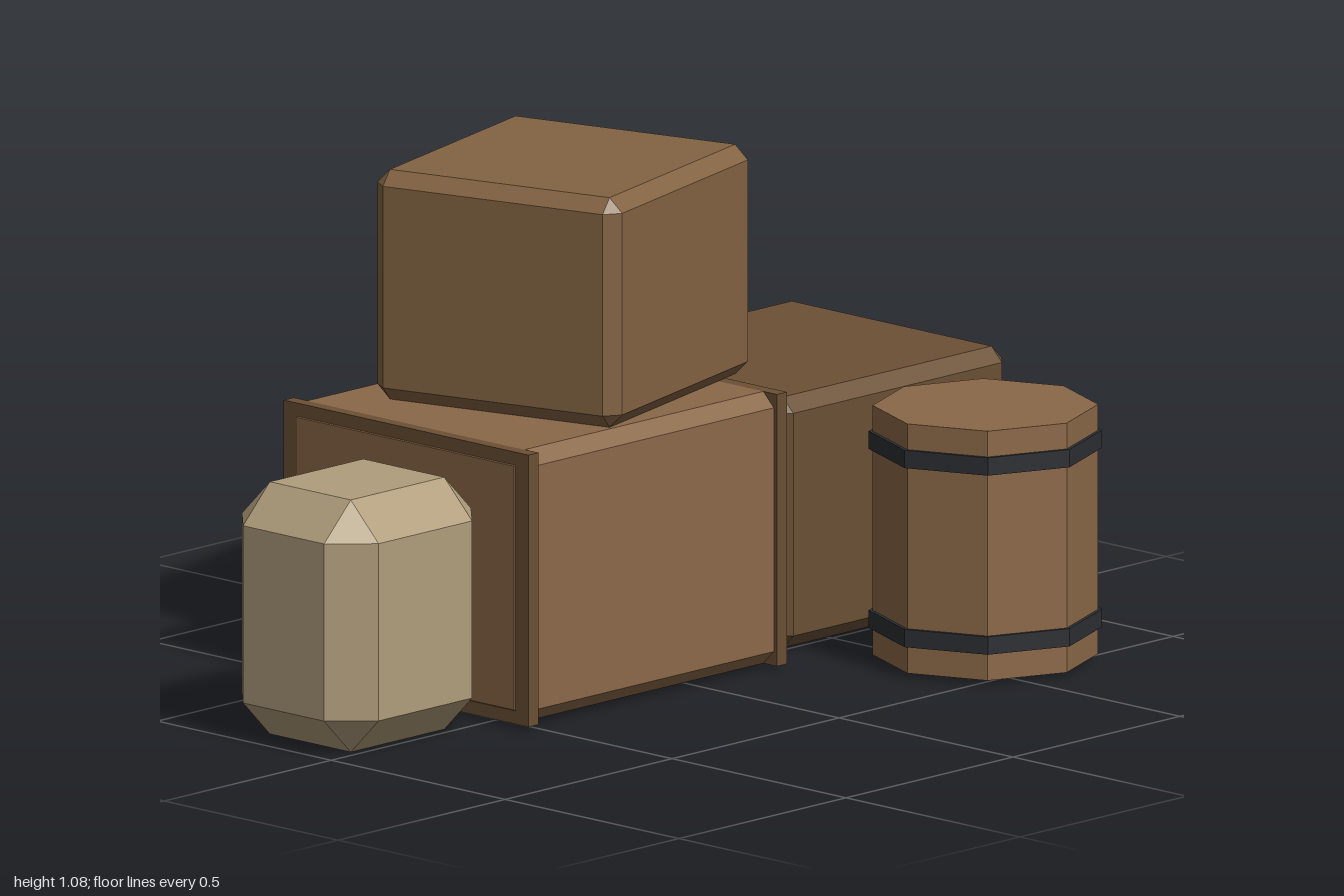
import * as THREE from 'three';
import { ConvexGeometry } from 'three/addons/geometries/ConvexGeometry.js';

const mat = (color) => new THREE.MeshStandardMaterial({ color, flatShading: true });
const wood = mat(0x8b6848);
const topWood = mat(0x836342);
const darkWood = mat(0x6b5035);
const iron = mat(0x2c2e32);
const cloth = mat(0xb09d7c);

// Box with chamfered edges and corners, centred on the origin
function chamferBox(w, h, d, b) {
  const points = [];
  for (const sx of [-1, 1]) for (const sy of [-1, 1]) for (const sz of [-1, 1]) {
    for (let face = 0; face < 3; face++) {
      const half = [w / 2, h / 2, d / 2].map((v, axis) => (axis === face ? v : v - b));
      points.push(new THREE.Vector3(sx * half[0], sy * half[1], sz * half[2]));
    }
  }
  return new ConvexGeometry(points);
}

function add(parent, name, geometry, material, x, y, z) {
  const mesh = new THREE.Mesh(geometry, material);
  mesh.name = name;
  mesh.position.set(x, y, z);
  parent.add(mesh);
  return mesh;
}

export function createModel() {
  const model = new THREE.Group();
  model.name = 'cargoPile';

  // Large crate with a framing board at each end
  const crate = new THREE.Group();
  crate.name = 'largeCrate';
  crate.position.set(-0.147, 0.3, -0.232);
  add(crate, 'crateBody', chamferBox(0.778, 0.58, 0.685, 0.03), wood, 0, 0, 0);
  for (const side of [-1, 1]) {
    add(crate, 'endBoard', new THREE.BoxGeometry(0.03, 0.58, 0.704), darkWood, side * 0.372, 0, 0);
  }
  model.add(crate);

  // Smaller crate, turned, on top of the large one
  const upper = add(model, 'upperCrate', chamferBox(0.6, 0.49, 0.58, 0.03), topWood, -0.047, 0.835, -0.25);
  upper.rotation.y = Math.PI / 12;

  // Dark crate on the left
  add(model, 'darkCrate', chamferBox(0.685, 0.535, 0.635, 0.03), darkWood, 0.657, 0.275, -0.28);

  // Eight-sided barrel with two hoops
  const barrel = new THREE.Group();
  barrel.name = 'barrel';
  barrel.position.set(0.587, 0, 0.357);
  add(barrel, 'barrelBody', new THREE.CylinderGeometry(0.234, 0.234, 0.532, 8), wood, 0, 0.276, 0);
  for (const y of [0.086, 0.468]) {
    add(barrel, 'hoop', new THREE.CylinderGeometry(0.242, 0.242, 0.038, 8), iron, 0, y, 0);
  }
  model.add(barrel);

  // Stuffed sack on the right
  add(model, 'sack', chamferBox(0.44, 0.538, 0.393, 0.08), cloth, -0.78, 0.269, -0.137);

  return model;
}
